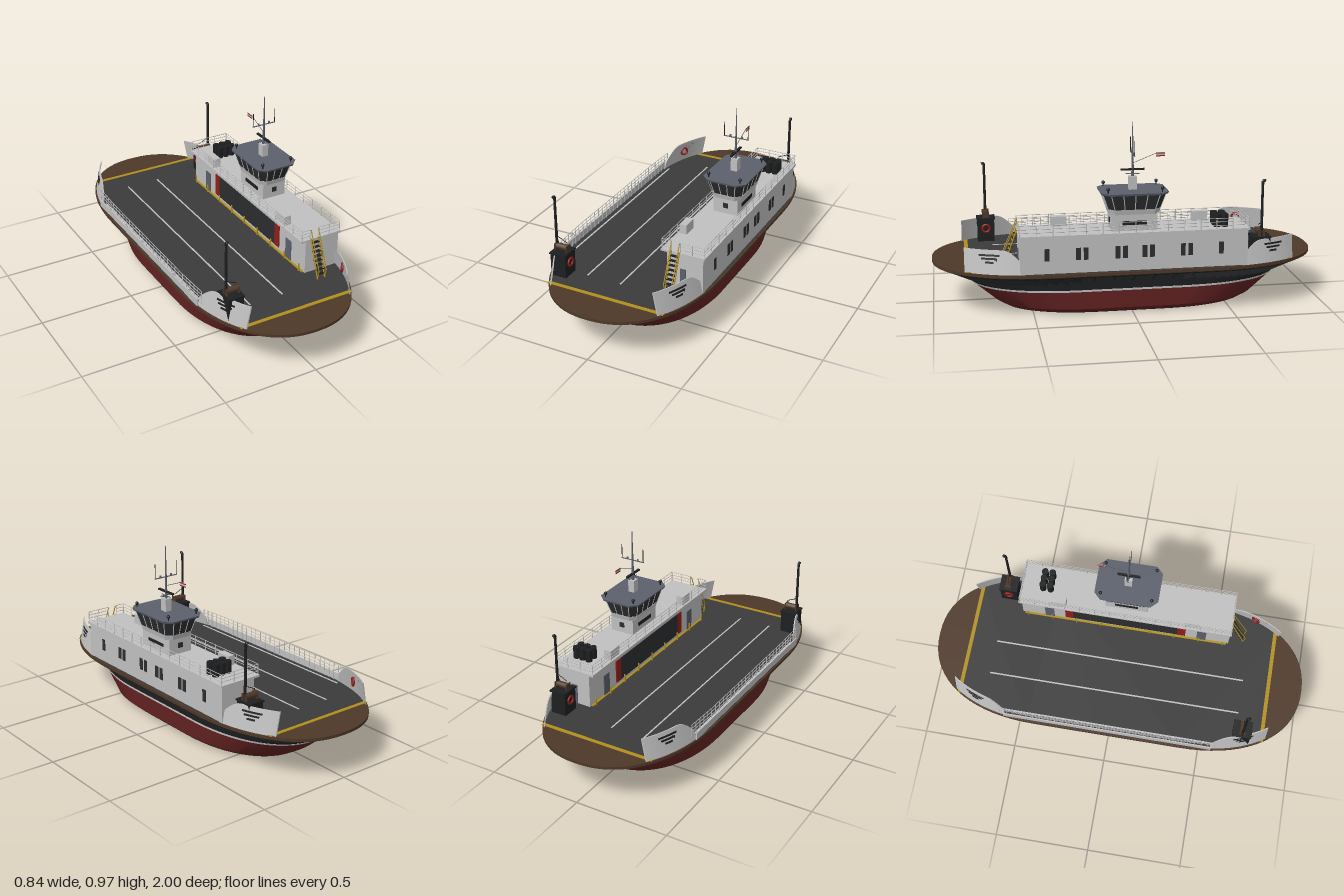
import * as THREE from 'three';
import { toCreasedNormals } from 'three/addons/utils/BufferGeometryUtils.js';

const mat = (name, color, side = THREE.FrontSide) => {
  const m = new THREE.MeshStandardMaterial({ color, side });
  m.name = name;
  return m;
};
const V = (x, y, z) => new THREE.Vector3(x, y, z);

export function createModel() {
  const white = mat('paint grey white', 0xc0c0c0, THREE.DoubleSide);
  const asphalt = mat('deck grey', 0x3b3b3b);
  const brown = mat('rust brown', 0x4e3828);
  const yellow = mat('safety yellow', 0xb08f1e);
  const black = mat('black steel', 0x1d1f20, THREE.DoubleSide);
  const hullRed = mat('hull red', 0x642222);
  const slate = mat('slate', 0x5b606c);
  const glass = mat('dark glass', 0x2c2d2f);
  const signal = mat('signal red', 0x8e1f1a, THREE.DoubleSide);

  const model = new THREE.Group();
  model.name = 'ferry';
  const group = (name, parent = model) => {
    const g = new THREE.Group();
    g.name = name;
    parent.add(g);
    return g;
  };
  const add = (parent, name, geo, m) => {
    const mesh = new THREE.Mesh(geo, m);
    mesh.name = name;
    parent.add(mesh);
    return mesh;
  };
  // box given by its min and max on each axis
  const box = (p, name, m, x0, x1, y0, y1, z0, z1) => {
    const b = add(p, name, new THREE.BoxGeometry(x1 - x0, y1 - y0, z1 - z0), m);
    b.position.set((x0 + x1) / 2, (y0 + y1) / 2, (z0 + z1) / 2);
    return b;
  };
  const rod = (p, name, m, a, b, r = 0.002, rTop = r, sides = 6) => {
    const d = b.clone().sub(a);
    const c = add(p, name, new THREE.CylinderGeometry(rTop, r, d.length(), sides), m);
    c.position.copy(a).addScaledVector(d, 0.5);
    c.quaternion.setFromUnitVectors(V(0, 1, 0), d.normalize());
    return c;
  };
  // skin through closed rings, with flat ends
  const loft = (rings, crease = 0.5) => {
    const n = rings[0].length, pts = [];
    const mid = r => r.reduce((s, v) => s.add(v), V(0, 0, 0)).divideScalar(n);
    const lo = rings[0], hi = rings[rings.length - 1], cl = mid(lo), ch = mid(hi);
    for (let i = 0; i < n; i++) {
      const k = (i + 1) % n;
      for (let j = 0; j + 1 < rings.length; j++) {
        const a = rings[j], b = rings[j + 1];
        pts.push(a[i], b[i], a[k], a[k], b[i], b[k]);
      }
      pts.push(cl, lo[i], lo[k], ch, hi[k], hi[i]);
    }
    const g = new THREE.BufferGeometry().setFromPoints(pts);
    g.computeVertexNormals();
    return toCreasedNormals(g, crease);
  };

  // double-ended outline: straight sides with superelliptic ends
  const N = 36, POW = 2.25;
  const outline = (y, a, L, z0) => {
    const r = [];
    for (const s of [1, -1]) for (let k = 0; k <= N; k++) {
      const t = Math.PI * k / N, c = Math.cos(t), e = 2 / POW;
      r.push(V(s * a * Math.sign(c) * Math.abs(c) ** e, y, s * (z0 + (L - z0) * Math.max(0, Math.sin(t)) ** e)));
    }
    return r;
  };
  const DZ = 0.38;
  const deckX = z => 0.42 * (1 - Math.max(0, (Math.abs(z) - DZ) / (1 - DZ)) ** POW) ** (1 / POW);

  // hull
  const hull = group('hull');
  add(hull, 'keelPlate', loft([outline(0, 0.3, 0.645, 0.15), outline(0.002, 0.302, 0.648, 0.15)]), black);
  add(hull, 'lowerHull', loft([outline(0.002, 0.302, 0.648, 0.15), outline(0.028, 0.332, 0.69, 0.18), outline(0.12, 0.335, 0.8, 0.25)]), hullRed);
  add(hull, 'waterline', loft([outline(0.12, 0.336, 0.802, 0.25), outline(0.13, 0.336, 0.812, 0.25)]), white);
  add(hull, 'upperHull', loft([outline(0.13, 0.335, 0.81, 0.25), outline(0.15, 0.336, 0.83, 0.26), outline(0.22, 0.338, 0.85, 0.27)]), black);
  add(hull, 'deckUnderside', loft([outline(0.214, 0.405, 0.975, DZ), outline(0.221, 0.412, 0.99, DZ)]), black);

  // triangular brackets below the overhanging deck
  const brackets = group('deckBrackets', hull);
  const bracket = (inn, out, drop) => {
    const w = V(out.z - inn.z, 0, inn.x - out.x).normalize().multiplyScalar(0.003);
    const tri = s => [V(inn.x, 0.22, inn.z), V(inn.x, 0.22 - drop, inn.z), V(out.x, 0.216, out.z)].map(v => v.addScaledVector(w, s));
    add(brackets, 'bracket', loft([tri(-1), tri(1)], 0.1), black);
  };
  const inner = outline(0, 0.333, 0.825, 0.26), outer = outline(0, 0.405, 0.975, DZ);
  inner.forEach((p, i) => bracket(p, outer[i], 0.05 + 0.03 * Math.abs(p.z) / 0.83));
  for (const s of [1, -1]) for (let k = -3; k <= 3; k++) bracket(V(s * 0.333, 0, k * 0.1), V(s * 0.405, 0, k * 0.1), 0.05);

  // car deck
  const deck = group('deck');
  add(deck, 'deckPlate', loft([outline(0.22, 0.412, 0.99, DZ), outline(0.226, 0.42, 1, DZ), outline(0.241, 0.42, 1, DZ)]), brown);
  const lane = new THREE.Shape();
  for (const s of [1, -1]) for (let k = 0; k <= 30; k++) {
    const z = s * (-0.82 + 1.64 * k / 30);
    lane[k || s < 0 ? 'lineTo' : 'moveTo'](s * (deckX(z) - 0.01), z);
  }
  add(deck, 'roadway', new THREE.ExtrudeGeometry(lane, { depth: 0.002, bevelEnabled: false }).rotateX(-Math.PI / 2), asphalt).position.y = 0.241;
  for (const s of [1, -1]) box(deck, 'stopLine', yellow, -0.318, 0.318, 0.242, 0.245, s * 0.82 - 0.01, s * 0.82 + 0.01);
  for (const x of [-0.18, 0.005]) box(deck, 'laneLine', white, x - 0.004, x + 0.004, 0.242, 0.245, -0.68, 0.68);
  box(deck, 'edgeLine', white, -0.376, -0.367, 0.242, 0.245, -0.56, 0.56);

  // corner bulwarks: leaning plates that follow the deck edge
  const skin = (p, name, m, sx, sz, z0, z1, y0, top, o) => {
    const x = (z, y, d) => sx * (deckX(z) - 0.008 - 0.2 * (y - 0.24) + d);
    const rings = [];
    for (let k = 0; k <= 14; k++) {
      const z = z0 + (z1 - z0) * k / 14, h = top(z);
      rings.push([[y0, o], [h, o], [h, -0.006], [y0, -0.006]].map(([y, d]) => V(x(z, y, d), y, sz * z)));
    }
    add(p, name, loft(rings), m);
  };
  for (const sx of [1, -1]) for (const sz of [1, -1]) {
    const g = group('cornerBulwark');
    skin(g, 'bulwarkPlate', white, sx, sz, 0.555, 0.84, 0.24, z => 0.29 + 0.07 * Math.sin(Math.PI / 2 * Math.min(1, (z - 0.555) / 0.1)), 0);
    [[0.05, 0.33], [0.038, 0.313], [0.02, 0.295]].forEach(([w, y]) =>
      skin(g, 'ventSlot', black, sx, sz, 0.72 - w, 0.72 + w, y, () => y + 0.009, 0.002));
  }
  const buoy = (p, x, y, z, ry) => {
    const t = add(p, 'lifebuoy', new THREE.TorusGeometry(0.02, 0.006, 8, 20), signal);
    t.position.set(x, y, z);
    t.rotation.y = ry;
  };
  for (const s of [1, -1]) buoy(model, s * 0.342, 0.305, s * 0.7, Math.PI / 2 - 0.6);

  // railing helpers: posts and rails along a path
  const railing = (p, pts, y0, heights, step) => {
    for (let i = 0; i + 1 < pts.length; i++) {
      const a = V(pts[i][0], 0, pts[i][1]), b = V(pts[i + 1][0], 0, pts[i + 1][1]);
      const n = Math.max(1, Math.round(a.distanceTo(b) / step)), at = (q, y) => V(q.x, y, q.z);
      for (const h of heights) rod(p, 'rail', white, at(a, y0 + h), at(b, y0 + h), 0.0018);
      for (let k = 0; k <= n; k++) {
        const q = a.clone().lerp(b, k / n);
        rod(p, 'post', white, at(q, y0), at(q, y0 + heights[heights.length - 1]), 0.002);
      }
    }
  };
  const sideRail = group('sideRailing');
  box(sideRail, 'lowBulwark', white, -0.408, -0.402, 0.24, 0.28, -0.56, 0.56);
  railing(sideRail, [[-0.392, -0.58], [-0.4, -0.4], [-0.4, 0.4], [-0.392, 0.58]], 0.24, [0.055, 0.073, 0.092], 0.04);

  // deckhouse along the left side
  const house = group('deckhouse');
  box(house, 'houseWalls', white, 0.205, 0.4, 0.24, 0.43, -0.572, 0.572);
  box(house, 'houseRoof', white, 0.175, 0.41, 0.426, 0.437, -0.58, 0.578);
  for (const z of [0.44, 0.285, 0.247, 0.09, 0.052, -0.046, -0.084, -0.24, -0.278, -0.435])
    box(house, 'sideWindow', glass, 0.398, 0.403, 0.308, 0.37, z - 0.012, z + 0.012);
  box(house, 'inboardPanel', glass, 0.201, 0.206, 0.265, 0.39, -0.29, 0.29);
  for (const s of [1, -1]) {
    box(house, 'redPanel', signal, 0.2, 0.206, 0.265, 0.39, s * 0.31 - 0.022, s * 0.31 + 0.022);
    box(house, 'inboardDoor', slate, 0.201, 0.206, 0.245, 0.36, s * 0.42 - 0.025, s * 0.42 + 0.025);
    box(house, 'endDoor', slate, 0.278, 0.308, 0.243, 0.35, s * 0.574 - 0.003, s * 0.574 + 0.003);
    box(house, 'roofLocker', white, 0.187, 0.225, 0.437, 0.487, s * 0.362 - 0.04, s * 0.362 + 0.04);
  }
  for (let k = 0; k < 9; k++) rod(house, 'guardPost', yellow, V(0.19, 0.24, -0.54 + k * 0.135), V(0.19, 0.288, -0.54 + k * 0.135), 0.004);
  box(house, 'guardCurb', yellow, 0.194, 0.205, 0.241, 0.248, -0.56, 0.56);
  railing(group('roofRailing', house), [[0.28, 0.573], [0.405, 0.573], [0.405, -0.573], [0.18, -0.573], [0.18, 0.573], [0.228, 0.573]], 0.437, [0.018, 0.036, 0.054], 0.08);
  for (const x of [0.278, 0.315, 0.352]) for (const z of [-0.462, -0.422])
    rod(house, 'roofVent', black, V(x, 0.437, z), V(x, 0.5, z), 0.018, 0.018, 12);

  // stair up to the roof
  const stair = group('stair');
  for (const x of [0.232, 0.275]) {
    rod(stair, 'stringer', yellow, V(x, 0.242, 0.65), V(x, 0.44, 0.578), 0.004);
    rod(stair, 'handrail', yellow, V(x, 0.29, 0.66), V(x, 0.488, 0.575), 0.0025);
    rod(stair, 'handrailPost', yellow, V(x, 0.242, 0.65), V(x, 0.29, 0.66), 0.0025);
  }
  for (let k = 1; k < 9; k++) box(stair, 'step', black, 0.232, 0.275, 0.24 + k * 0.022, 0.244 + k * 0.022, 0.64 - k * 0.008, 0.656 - k * 0.008);

  // bridge tower and flared wheelhouse
  const CX = 0.302, bridge = group('bridge');
  const octagon = (y, a, b, c) => [[a, -b + c], [a, b - c], [a - c, b], [-a + c, b], [-a, b - c], [-a, -b + c], [-a + c, -b], [a - c, -b]].map(([x, z]) => V(CX + x, y, z));
  box(bridge, 'tower', white, 0.235, 0.369, 0.437, 0.53, -0.115, 0.115);
  for (const x of [0.235, 0.369]) box(bridge, 'towerPanel', black, x - 0.003, x + 0.003, 0.467, 0.487, -0.062, 0.062);
  for (const z of [0.115, -0.115]) box(bridge, 'towerWindow', glass, 0.289, 0.316, 0.468, 0.495, z - 0.003, z + 0.003);
  add(bridge, 'wheelhouseBase', loft([octagon(0.522, 0.08, 0.125, 0.028), octagon(0.548, 0.086, 0.132, 0.03)], 0.2), white);
  const low = octagon(0.548, 0.085, 0.131, 0.03), high = octagon(0.628, 0.106, 0.158, 0.036);
  add(bridge, 'wheelhouseGlass', loft([low, high], 0.2), glass);
  low.forEach((p, i) => {
    const k = (i + 1) % 8, parts = i % 4 === 0 ? 4 : i % 2 === 0 ? 3 : 1;
    for (let j = 0; j < parts; j++)
      rod(bridge, 'mullion', white, p.clone().lerp(low[k], j / parts), high[i].clone().lerp(high[k], j / parts), 0.0025);
  });
  add(bridge, 'wheelhouseRoof', loft([octagon(0.624, 0.114, 0.166, 0.036), octagon(0.634, 0.117, 0.169, 0.036)], 0.2), slate);
  for (const sx of [1, -1]) for (const sz of [1, -1]) {
    const x = CX + sx * 0.086, z = sz * 0.135;
    rod(bridge, 'lampPost', black, V(x, 0.632, z), V(x, 0.65, z), 0.003);
    add(bridge, 'searchlight', new THREE.SphereGeometry(0.009, 12, 8), black).position.set(x, 0.654, z);
  }

  // mast with yards, radar, aerials and flag
  const mast = group('mast');
  box(mast, 'mastBase', white, CX - 0.018, CX + 0.018, 0.632, 0.7, -0.02, 0.02);
  rod(mast, 'mastPole', slate, V(CX, 0.7, 0), V(CX, 0.86, 0), 0.007, 0.004, 10);
  rod(mast, 'topmast', slate, V(CX, 0.86, 0), V(CX, 0.972, 0), 0.004, 0.0015, 8);
  box(mast, 'radarBar', black, CX - 0.006, CX + 0.006, 0.73, 0.738, -0.06, 0.06);
  rod(mast, 'lowerYard', slate, V(CX - 0.034, 0.715, 0), V(CX + 0.034, 0.715, 0), 0.0025);
  rod(mast, 'shortYard', slate, V(CX, 0.712, -0.035), V(CX, 0.712, 0.035), 0.0025);
  rod(mast, 'upperYard', slate, V(CX - 0.068, 0.812, 0), V(CX + 0.068, 0.812, 0), 0.0028);
  for (const s of [1, -1]) {
    rod(mast, 'aerial', black, V(CX + s * 0.065, 0.812, 0), V(CX + s * 0.065, 0.887, 0), 0.0018);
    rod(mast, 'mastLamp', slate, V(CX + s * 0.032, 0.812, 0), V(CX + s * 0.032, 0.824, 0), 0.005, 0.005, 8);
  }
  rod(mast, 'gaff', slate, V(CX, 0.765, 0), V(CX, 0.812, -0.12), 0.0015);
  box(mast, 'flag', white, CX - 0.001, CX + 0.001, 0.795, 0.815, -0.163, -0.118);
  for (const y of [0.797, 0.811]) box(mast, 'flagStripe', signal, CX - 0.002, CX + 0.002, y - 0.002, y + 0.003, -0.163, -0.118);

  // winch housings with their tall exhaust pipes, at opposite corners
  const winch = (x, z, turn) => {
    const g = group('winchHouse');
    g.position.set(x, 0.24, z);
    g.rotation.y = turn;
    box(g, 'housing', black, -0.042, 0.042, 0, 0.125, -0.045, 0.045);
    box(g, 'housingTop', black, -0.046, 0.046, 0.122, 0.13, -0.05, 0.05);
    rod(g, 'drum', brown, V(-0.035, 0.15, 0), V(0.035, 0.15, 0), 0.016, 0.016, 14);
    for (const s of [-1, 1]) box(g, 'drumStand', brown, s * 0.033 - 0.003, s * 0.033 + 0.003, 0.128, 0.165, -0.018, 0.018);
    rod(g, 'pipe', black, V(-0.03, 0.128, 0), V(-0.03, 0.41, 0), 0.0075, 0.0065, 10);
    const bend = new THREE.CatmullRomCurve3([V(-0.03, 0.4, 0), V(-0.03, 0.415, 0.001), V(-0.03, 0.421, 0.007), V(-0.03, 0.418, 0.014)]);
    add(g, 'pipeBend', new THREE.TubeGeometry(bend, 10, 0.0075, 8), black);
    rod(g, 'stay', black, V(-0.03, 0.205, 0), V(0.028, 0.178, 0), 0.002);
    buoy(g, 0.044, 0.075, 0, Math.PI / 2);
  };
  winch(-0.302, 0.708, 0);
  winch(0.303, -0.66, Math.PI);
  return model;
}
